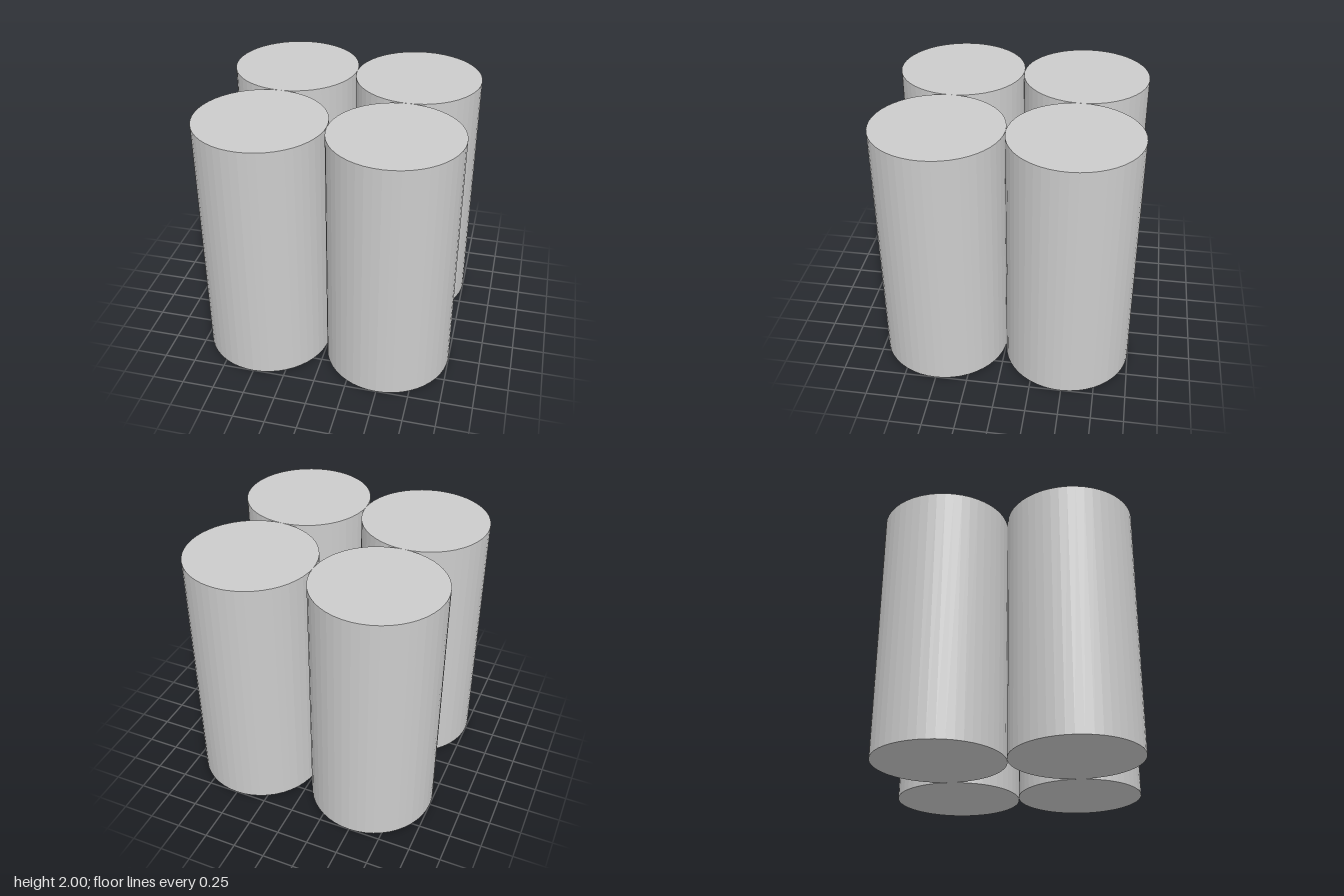
import * as THREE from 'three';

const RADIUS = 0.5;
const HEIGHT = 2;
const SIDES = 48;

export function createModel() {
  const group = new THREE.Group();
  group.name = 'columnCluster';

  const material = new THREE.MeshStandardMaterial({ color: 0xcccccc, flatShading: true });
  const geometry = new THREE.CylinderGeometry(RADIUS, RADIUS, HEIGHT, SIDES);

  // Four equal upright columns in a square, each touching its neighbours
  for (const [depthName, z] of [['front', RADIUS], ['back', -RADIUS]]) {
    for (const [sideName, x] of [['Left', RADIUS], ['Right', -RADIUS]]) {
      const column = new THREE.Mesh(geometry, material);
      column.name = `${depthName}${sideName}Column`;
      column.position.set(x, HEIGHT / 2, z);
      group.add(column);
    }
  }

  return group;
}
